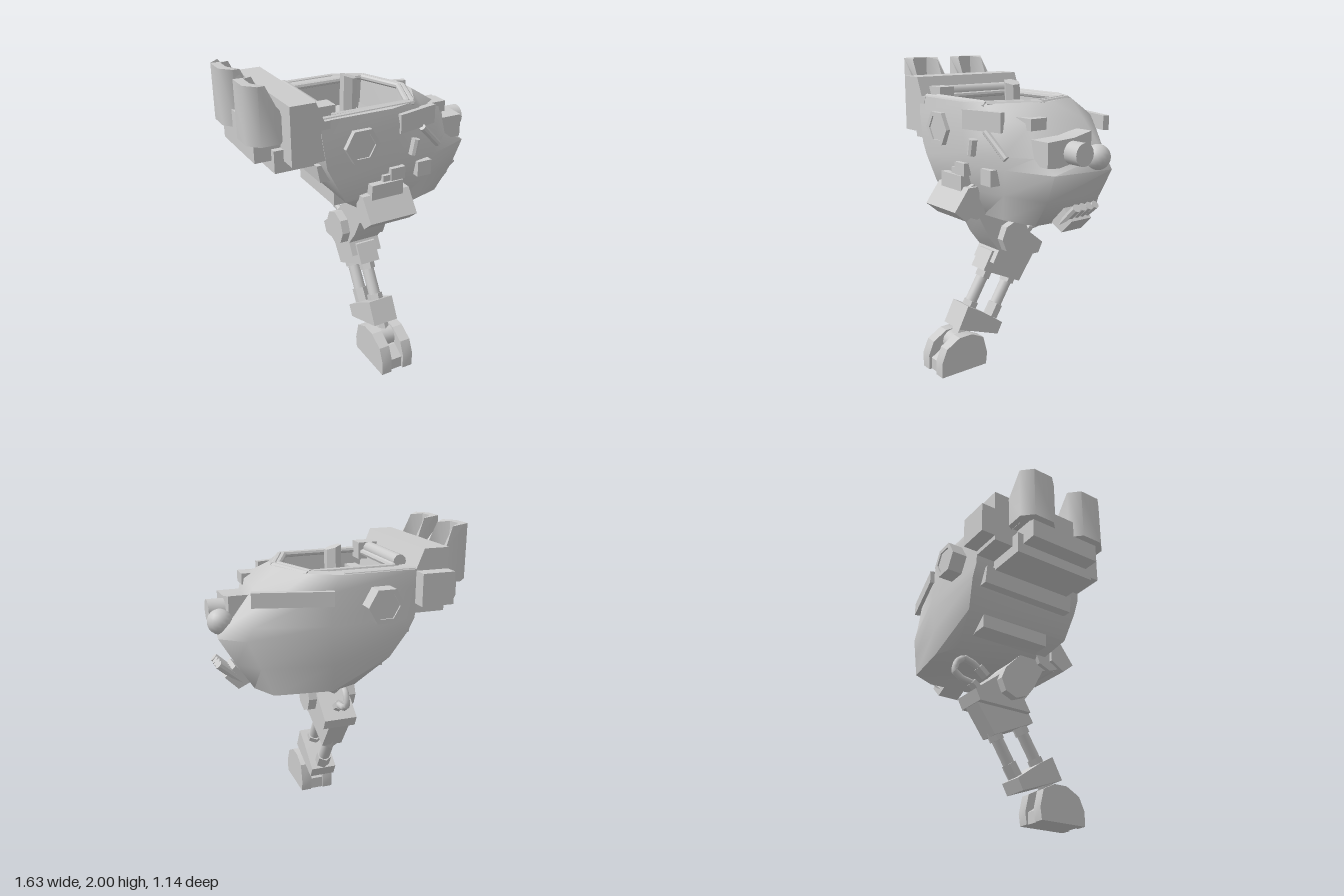
import * as THREE from 'three';
import { toCreasedNormals } from 'three/addons/utils/BufferGeometryUtils.js';

const mat = new THREE.MeshStandardMaterial({ color: 0xcccccc, side: THREE.DoubleSide });

export function createModel() {
  const model = new THREE.Group();
  const add = (name, geo, crease = 0.5) => {
    const mesh = new THREE.Mesh(toCreasedNormals(geo, crease), mat);
    mesh.name = name;
    model.add(mesh);
    return mesh;
  };
  // box from its min and max limits
  const box = (name, x0, x1, y0, y1, z0, z1) =>
    add(name, new THREE.BoxGeometry(x1 - x0, y1 - y0, z1 - z0)
      .translate((x0 + x1) / 2, (y0 + y1) / 2, (z0 + z1) / 2));
  // cylinder between two points
  const rod = (name, a, b, r, sides = 8) => {
    const p = new THREE.Vector3(...a), q = new THREE.Vector3(...b);
    const dir = q.clone().sub(p);
    const geo = new THREE.CylinderGeometry(r, r, dir.length(), sides);
    const turn = new THREE.Quaternion().setFromUnitVectors(new THREE.Vector3(0, 1, 0), dir.normalize());
    geo.applyQuaternion(turn).translate(...p.add(q).multiplyScalar(0.5).toArray());
    return add(name, geo, sides > 8 ? 0.9 : 0.3);
  };
  const shapeOf = pts => new THREE.Shape(pts.map(p => new THREE.Vector2(...p)));
  const extrude = (shape, depth) => new THREE.ExtrudeGeometry(shape, { depth, bevelEnabled: false });
  // plate with a (z, y) profile, spanning x0..x1
  const sidePlate = (name, pts, x0, x1) =>
    add(name, extrude(shapeOf(pts), x1 - x0).rotateY(-Math.PI / 2).translate(x1, 0, 0));
  // plate with an (x, y) profile, spanning z0..z1
  const facePlate = (name, pts, z0, z1) =>
    add(name, extrude(shapeOf(pts), z1 - z0).translate(0, 0, z0));
  // skin through horizontal rings { y, pts: [x, z] }, listed from the top down
  const loft = rings => {
    const pos = [], idx = [], n = rings[0].pts.length;
    rings.forEach(r => r.pts.forEach(([x, z]) => pos.push(x, r.y, z)));
    for (let k = 0; k < rings.length - 1; k++) {
      for (let i = 0; i < n; i++) {
        const j = (i + 1) % n, t = k * n, b = t + n;
        idx.push(b + i, b + j, t + j, b + i, t + j, t + i);
      }
    }
    const last = (rings.length - 1) * n;
    for (let i = 1; i < n - 1; i++) idx.push(last, last + i + 1, last + i);
    const geo = new THREE.BufferGeometry();
    geo.setAttribute('position', new THREE.Float32BufferAttribute(pos, 3));
    geo.setIndex(idx);
    geo.computeVertexNormals();
    return geo;
  };

  // Hull
  const rimOuter = [[-.42, .35], [.05, .35], [.24, .3], [.37, .06], [.37, -.1], [.24, -.38], [.08, -.47], [-.42, -.47]];
  const hull = [
    { y: 1.77, pts: rimOuter },
    { y: 1.67, pts: [[-.42, .36], [.08, .37], [.33, .31], [.52, .18], [.54, -.22], [.42, -.4], [.14, -.48], [-.42, -.47]] },
    { y: 1.47, pts: [[-.39, .36], [.1, .36], [.4, .3], [.56, .19], [.7, -.24], [.58, -.36], [.14, -.48], [-.4, -.47]] },
    { y: 1.39, pts: [[-.35, .36], [.1, .36], [.41, .29], [.72, .17], [.77, -.24], [.62, -.36], [.14, -.48], [-.36, -.47]] },
    { y: 1.22, pts: [[-.26, .34], [.08, .32], [.36, .26], [.65, .16], [.67, -.25], [.55, -.38], [.12, -.47], [-.26, -.43]] },
    { y: 1.05, pts: [[-.05, .2], [.12, .23], [.3, .22], [.53, .15], [.56, -.24], [.48, -.4], [.12, -.45], [-.05, -.38]] },
  ];
  add('hull', loft(hull), 1.2);

  // Cockpit opening, rim and tub
  const opening = [[-.36, .28], [.2, .28], [.34, -.03], [.22, -.33], [-.36, -.33]];
  const rim = shapeOf(rimOuter.map(([x, z]) => [x, -z]));
  rim.holes.push(new THREE.Path(opening.map(([x, z]) => new THREE.Vector2(x, -z))));
  add('cockpitRim', new THREE.ShapeGeometry(rim).rotateX(-Math.PI / 2).translate(0, 1.77, 0));
  const floorPts = opening.map(([x, z]) => [x * 0.85, z * 0.95]);
  add('cockpitTub', loft([{ y: 1.77, pts: opening }, { y: 1.42, pts: floorPts }]));
  const railLoop = (name, pts, y, r) => pts.forEach(([x, z], i) => {
    const [u, w] = pts[(i + 1) % pts.length];
    rod(name, [x, y, z], [u, y, w], r);
  });
  railLoop('innerRail', [[-.32, .28], [.2, .28], [.33, -.03], [.22, -.33], [-.32, -.33]], 1.765, .02);
  railLoop('outerRail', [[-.42, .31], [.23, .29], [.36, -.03], [.24, -.35], [.05, -.44], [-.42, -.44]], 1.76, .022);
  rod('backRoll', [-.365, 1.79, -.31], [-.365, 1.79, .17], .042, 12);
  box('rollBracket', -.43, -.29, 1.72, 1.83, .17, .28);

  // Seat and control column
  box('seat', -.27, -.06, 1.42, 1.56, -.28, .24);
  box('seatBack', -.28, -.2, 1.5, 1.69, -.24, .2);
  box('console', -.07, .09, 1.42, 1.62, -.26, .22);
  facePlate('dashboard', [[.08, 1.42], [.26, 1.42], [.24, 1.55], [.1, 1.66]], -.15, .16);
  const column = new THREE.CylinderGeometry(.054, .054, .34, 6);
  const cp = column.attributes.position;
  // slanted column top
  for (let i = 0; i < cp.count; i++) if (cp.getY(i) > 0) cp.setY(i, .15 - cp.getX(i) * .3);
  const controlColumn = add('controlColumn', column, .3);
  controlColumn.position.set(-.005, 1.715, -.1);
  controlColumn.rotation.x = .06;

  // Rear housing
  facePlate('rearHousing', [[-.61, 1.53], [-.38, 1.53], [-.36, 1.77], [-.4, 1.77], [-.45, 1.89], [-.61, 1.89]], -.47, .355);
  box('rearLowerBlock', -.67, -.35, 1.46, 1.6, -.34, .24);
  facePlate('rearKeel', [[-.42, 1.47], [-.4, 1.36], [-.32, 1.36], [-.3, 1.47]], -.4, .28);
  facePlate('lowerKeel', [[-.26, 1.25], [-.26, 1.13], [-.16, 1.13], [0, 1.06], [0, 1.25]], -.32, .18);
  box('thrusterMount', -.775, -.6, 1.53, 1.76, -.3, .2);
  box('sidePod', -.61, -.4, 1.56, 1.76, -.565, -.46);

  // Two thruster shells, open towards the housing, with sloping side walls
  for (const z of [-.247, .135]) {
    const half = [[-.61, .1], [-.7, .1], [-.765, .05]];
    const outer = [[-.82, .07], [-.755, .137], [-.635, .137]];
    const mirror = pts => pts.map(([x, w]) => [x, -w]).reverse();
    const shell = shapeOf([...half, ...mirror(half), ...mirror(outer), ...outer]);
    const geo = extrude(shell, 1).rotateX(-Math.PI / 2);
    const p = geo.attributes.position;
    for (let i = 0; i < p.count; i++) {
      const top = 2 - Math.max(0, p.getX(i) + .705) * 2.1;
      p.setY(i, p.getY(i) > .5 ? top : 1.65);
    }
    add('thrusterShell', geo.translate(0, 0, z), 0.9);
    box('thrusterFloor', -.77, -.61, 1.66, 1.74, z - .09, z + .09);
  }

  // Hexagonal ports on both sides
  const hexagon = r => [...Array(6)].map((_, i) =>
    [r * Math.cos(i * Math.PI / 3), r * Math.sin(i * Math.PI / 3)]);
  for (const [z0, z1] of [[-.575, -.46], [.34, .395]]) {
    const ring = shapeOf(hexagon(.117));
    ring.holes.push(new THREE.Path(hexagon(.085).map(p => new THREE.Vector2(...p))));
    add('hexPort', extrude(ring, z1 - z0).translate(-.168, 1.585, z0));
    add('hexPortCore', extrude(shapeOf(hexagon(.09)), z1 - z0 - .02).translate(-.168, 1.585, z0 + .01));
  }

  // Nose gun, eye and intake pipes
  sidePlate('gunBlock', [[.19, 1.43], [.19, 1.58], [-.01, 1.59], [-.15, 1.62], [-.15, 1.4]], .5, .68);
  rod('gunBarrel', [.66, 1.505, 0], [.785, 1.505, 0], .07, 16);
  add('eye', new THREE.SphereGeometry(.078, 16, 12).translate(.737, 1.47, -.15), 3);
  for (let i = 0; i < 4; i++) {
    const s = i - 1.5;
    rod('intakePipe', [.6, 1.05, -.05 + s * .035], [.755, 1.19, -.05 + s * .05], .027, 8);
  }
  facePlate('intakePlate', [[.54, 1.06], [.635, 1.015], [.72, 1.1], [.65, 1.17]], -.13, .03);

  // Raised panels, ribs and lamps on the hull sides
  const windowPanel = box('windowPanel', -.15, .15, -.06, .06, -.02, .02);
  windowPanel.position.set(.24, 1.67, .323);
  windowPanel.rotation.y = .24;
  box('frontLamp', .4, .54, 1.63, 1.7, .08, .2);
  rod('rib', [.19, 1.46, .375], [.21, 1.56, .375], .027);
  rod('rib', [.28, 1.61, .335], [.43, 1.46, .295], .022);
  box('sideLamp', .25, .35, 1.285, 1.385, .22, .35);
  const strip = box('sideStrip', -.24, .24, -.045, .045, -.02, .02);
  strip.position.set(.36, 1.64, -.425);
  strip.rotation.y = -.27;

  // Hip
  box('hipBracket', .03, .13, 1.32, 1.4, .26, .39);
  box('hipMount', -.11, .11, 1.22, 1.32, .2, .4);
  box('hipNeck', -.02, .1, 1.28, 1.36, .25, .38);
  sidePlate('hipBlock', [[.485, 1.11], [.4, 1.04], [.3, 1.1], [.3, 1.25], [.38, 1.25]], -.165, .165);
  rod('hipJoint', [-.14, 1.15, .3], [.14, 1.15, .3], .12, 8);

  // Thigh and knee
  sidePlate('thigh', [[.4, 1.17], [.32, 1.27], [.22, 1.25], [-.08, .94], [-.06, .78], [.08, .75], [.18, .88], [.26, 1.03], [.36, 1.05]], -.11, .11);
  rod('kneeDisc', [-.165, .865, 0], [.165, .865, 0], .115, 8);

  // Shin
  sidePlate('shinUpper', [[.15, .7], [-.01, .98], [-.275, .77], [-.24, .7]], -.11, .11);
  sidePlate('shinLower', [[.2, .65], [.13, .77], [-.25, .72], [-.1, .51]], -.07, .07);
  rod('pistonCollar', [0, .66, .12], [0, .58, .165], .052, 6);
  rod('pistonCollar', [0, .59, -.09], [0, .5, -.04], .052, 6);
  rod('piston', [0, .62, .14], [0, .36, .3], .04, 12);
  rod('piston', [0, .54, -.06], [0, .28, .1], .04, 12);
  rod('pistonCollar', [0, .43, .255], [0, .35, .3], .052, 6);
  rod('pistonCollar', [0, .36, .05], [0, .28, .1], .052, 6);
  sidePlate('ankleBlock', [[.415, .29], [.34, .435], [.23, .37], [.06, .25], [.1, .175], [.25, .23]], -.088, .088);
  rod('ankleLink', [0, .33, .3], [0, .17, .39], .05, 8);

  // Knee hose
  const hose = new THREE.CurvePath();
  const bends = [[.85, -.2], [.87, -.32], [.91, -.375], [.98, -.355], [1.02, -.3], [1, -.23], [.95, -.15]]
    .map(([y, z]) => new THREE.Vector3(0, y, z));
  for (let i = 1; i < bends.length; i++) hose.add(new THREE.LineCurve3(bends[i - 1], bends[i]));
  add('kneeHose', new THREE.TubeGeometry(hose, 24, .022, 8), 0.9);
  rod('hoseFitting', [0, .82, -.19], [0, .86, -.24], .035, 6);
  rod('hoseFitting', [0, .93, -.13], [0, .98, -.19], .035, 6);

  // Foot: two cheeks, low centre and ankle pin
  const cheek = [[.57, 0], [.57, .1], [.53, .19], [.43, .245], [.33, .245], [.24, .2], [.21, .08], [.22, 0]];
  for (const s of [-1, 1]) sidePlate('footCheek', cheek, s * .08 - .036, s * .08 + .036);
  sidePlate('footCentre', [[.55, 0], [.55, .08], [.46, .13], [.31, .13], [.23, .08], [.23, 0]], -.05, .05);
  rod('anklePin', [-.08, .17, .39], [.08, .17, .39], .07, 12);

  return model;
}
